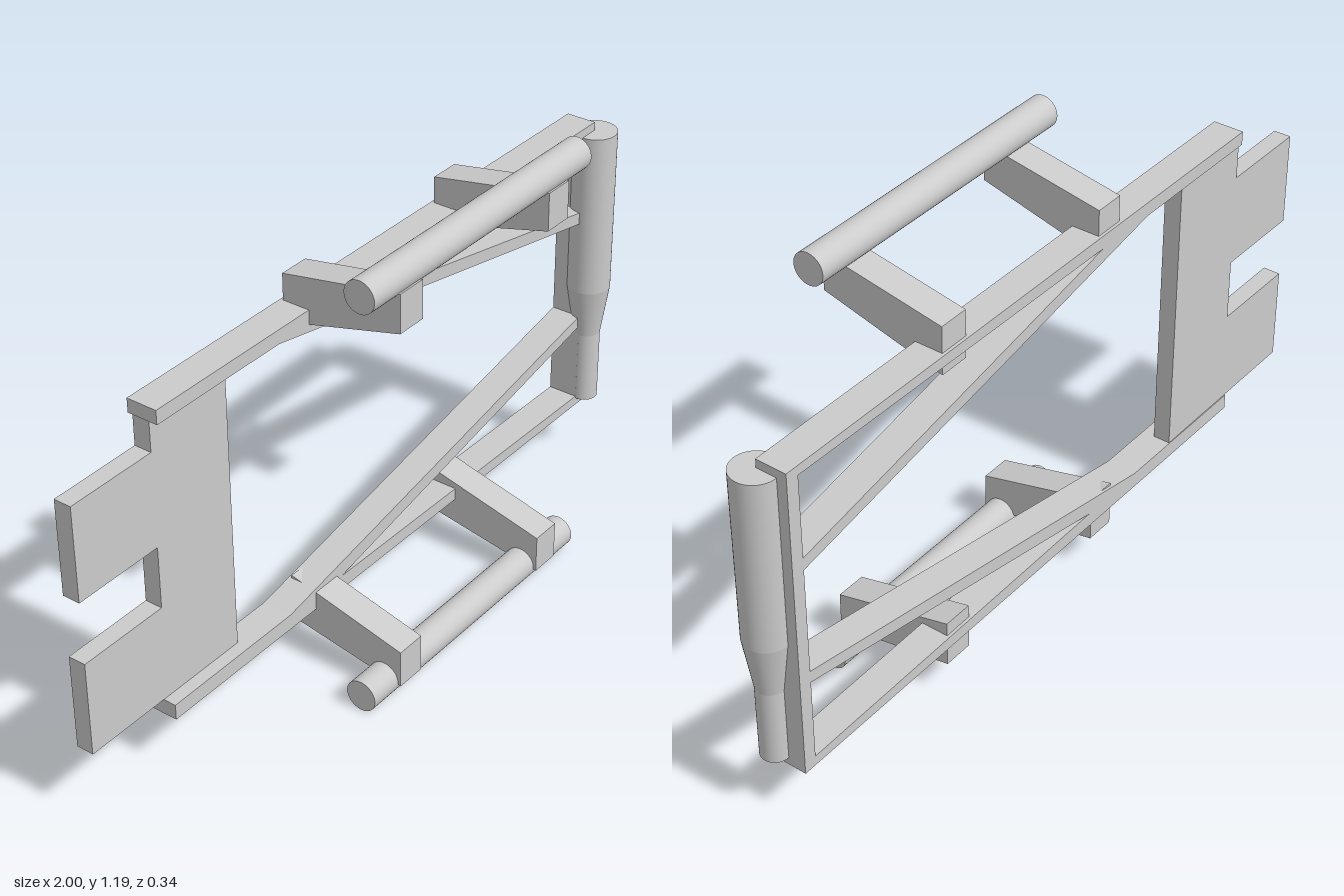
import * as THREE from 'three';

const material = new THREE.MeshStandardMaterial({ color: 0xcccccc });

const points = (list) => list.map(([x, y]) => new THREE.Vector2(x, y));

// Extruded outline running from z = 0 to z = depth
function prism(outline, depth, holes = []) {
  const shape = new THREE.Shape(points(outline));
  holes.forEach((h) => shape.holes.push(new THREE.Path(points(h))));
  return new THREE.ExtrudeGeometry(shape, { depth, bevelEnabled: false });
}

export function createModel() {
  const model = new THREE.Group();
  model.name = 'bracedFrame';
  const add = (name, geometry, x = 0, y = 0, z = 0) => {
    const mesh = new THREE.Mesh(geometry, material);
    mesh.name = name;
    mesh.position.set(x, y, z);
    model.add(mesh);
    return mesh;
  };

  // Rails, end post and diagonal braces as one flat frame, open at the plate end
  const frame = [
    [-0.76, 0.963], [-0.35, 0.963], [0.905, 0.722], [0.905, 0.435], [-0.34, 0.195],
    [-0.76, 0.195], [-0.76, 0.153], [0.94, 0.153], [0.94, 1.0], [-0.76, 1.0],
  ];
  const upperGap = [[-0.17, 0.965], [0.905, 0.755], [0.905, 0.975]];
  const lowerGap = [[-0.14, 0.192], [0.905, 0.18], [0.905, 0.403]];
  add('frame', prism(frame, 0.083, [upperGap, lowerGap]), 0, 0, -0.17);

  // Thin plate with two tabs
  const plate = [
    [-0.497, 0.195], [-0.497, 0.963], [-0.748, 0.963], [-0.748, 0.873], [-1, 0.873], [-1, 0.62],
    [-0.748, 0.62], [-0.748, 0.453], [-1, 0.453], [-1, 0.197],
  ];
  add('tabbedPlate', prism(plate, 0.047), 0, 0, -0.168);

  // Upright column: thick barrel, taper, thin foot
  const column = [
    ['columnBarrel', 0.058, 0.058, 0.52, 0.977],
    ['columnTaper', 0.058, 0.037, 0.377, 0.52],
    ['columnFoot', 0.037, 0.037, 0.174, 0.377],
  ];
  for (const [name, top, bottom, y0, y1] of column) {
    add(name, new THREE.CylinderGeometry(top, bottom, y1 - y0, 40), 0.942, (y0 + y1) / 2, -0.085);
  }

  // Arms reaching forward, profiles given as (z, y)
  const arms = {
    upperArm: [[0.17, 1.029], [0.17, 1.13], [-0.162, 1.07], [-0.162, 0.942]],
    lowerArm: [[0.17, 0.036], [0.17, 0.138], [-0.162, 0.222], [-0.162, 0.096]],
  };
  for (const [name, profile] of Object.entries(arms)) {
    for (const x of [-0.159, 0.422]) {
      add(name, prism(profile, 0.083).rotateY(-Math.PI / 2), x);
    }
  }

  // Round bars across the arm ends
  for (const [name, y, z] of [['upperBar', 1.151, 0.128], ['lowerBar', 0.042, 0.12]]) {
    const bar = new THREE.CylinderGeometry(0.042, 0.042, 0.85, 40).rotateZ(Math.PI / 2);
    add(name, bar, 0.091, y, z);
  }

  return model;
}
